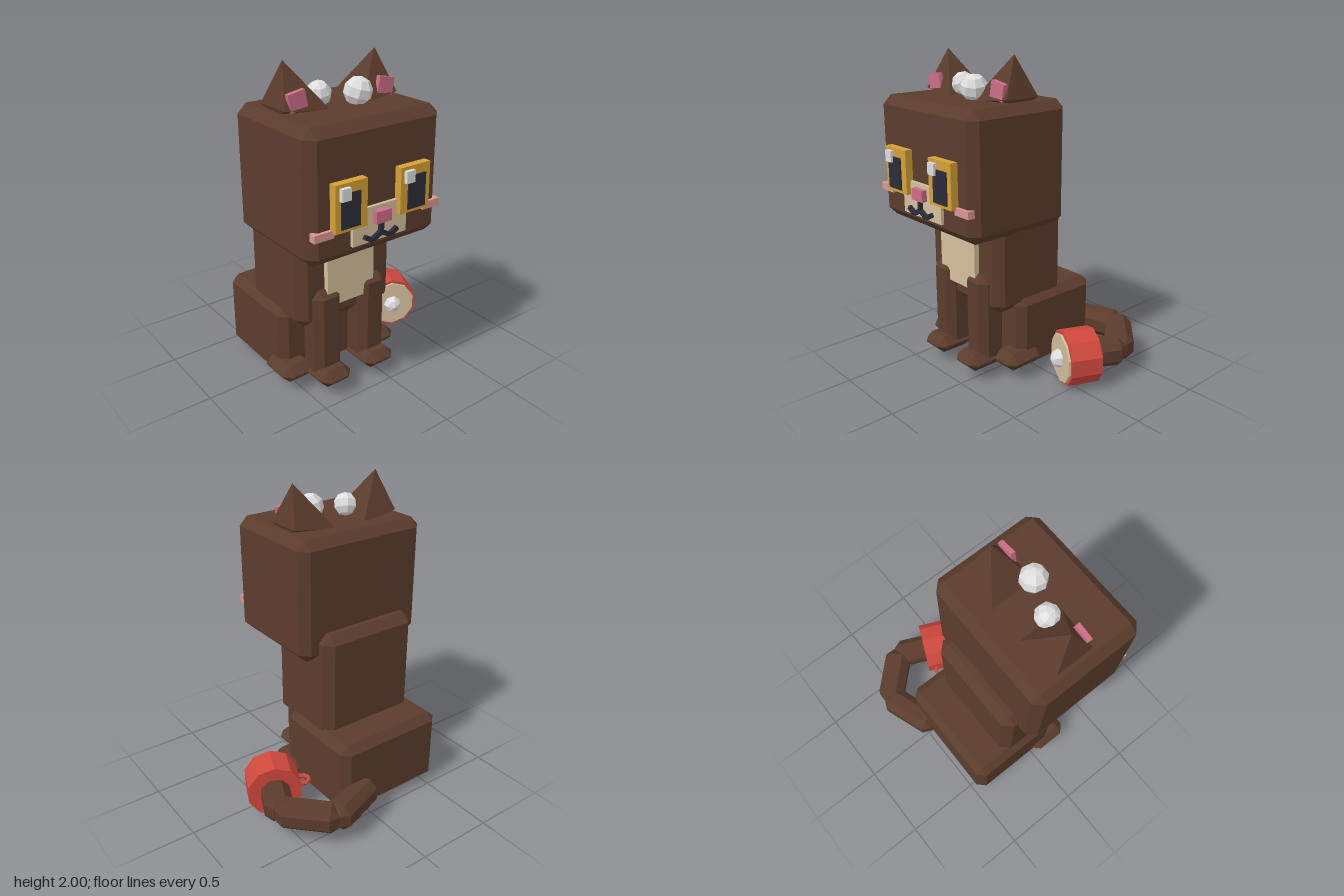
import * as THREE from 'three';
import { ConvexGeometry } from 'three/addons/geometries/ConvexGeometry.js';

const CX = -0.195; // symmetry plane of the cat

function paint(name, color) {
  const m = new THREE.MeshStandardMaterial({ color });
  m.name = name;
  return m;
}

// faceted normals
function flat(geo) {
  const g = geo.index ? geo.toNonIndexed() : geo;
  g.computeVertexNormals();
  return g;
}

// box with chamfered edges; flatBottom leaves the lower edges square
function chamferBox(w, h, d, c, flatBottom = false) {
  const pts = [];
  for (const sx of [-1, 1]) for (const sy of [-1, 1]) for (const sz of [-1, 1]) {
    const x = w / 2, y = h / 2, z = d / 2;
    const cy = flatBottom && sy < 0 ? 0 : c;
    pts.push(new THREE.Vector3(sx * x, sy * (y - cy), sz * (z - c)));
    pts.push(new THREE.Vector3(sx * (x - c), sy * (y - cy), sz * z));
    if (cy) pts.push(new THREE.Vector3(sx * (x - c), sy * y, sz * (z - c)));
  }
  return new ConvexGeometry(pts);
}

export function createModel() {
  const group = new THREE.Group();
  const fur = paint('brown fur', 0x5b3c2d);
  const cream = paint('cream', 0xd3c09c);
  const gold = paint('gold', 0xd5a036);
  const dark = paint('dark navy', 0x2b2c3b);
  const silver = paint('silver', 0xdedede);
  const pink = paint('pink', 0xcd6d86);
  const blush = paint('blush', 0xd99592);
  const red = paint('red', 0xcf483d);

  function add(name, geo, mat, x = 0, y = 0, z = 0) {
    const mesh = new THREE.Mesh(geo, mat);
    mesh.name = name;
    mesh.position.set(x, y, z);
    group.add(mesh);
    return mesh;
  }
  // parts given by their extents
  function block(name, mat, x0, x1, y0, y1, z0, z1, c = 0, flatBottom = false) {
    const s = [x1 - x0, y1 - y0, z1 - z0];
    const geo = c ? chamferBox(...s, c, flatBottom) : new THREE.BoxGeometry(...s);
    return add(name, geo, mat, (x0 + x1) / 2, (y0 + y1) / 2, (z0 + z1) / 2);
  }

  // head, torso and haunches
  block('head', fur, -0.65, 0.26, 0.98, 1.74, -0.15, 0.58, 0.055);
  block('torso', fur, -0.54, 0.15, 0.44, 1.16, -0.24, 0.315, 0.055);
  block('haunches', fur, -0.58, 0.19, 0.07, 0.52, -0.47, 0.165, 0.05, true);

  // chest patch with clipped lower corners
  const chest = new THREE.Shape([[-0.17, 0.43], [-0.17, 0.07], [-0.11, 0.07], [-0.11, 0],
    [0.11, 0], [0.11, 0.07], [0.17, 0.07], [0.17, 0.43]].map(p => new THREE.Vector2(...p)));
  add('chestPatch', new THREE.ExtrudeGeometry(chest, { depth: 0.04, bevelEnabled: false }), cream, -0.2, 0.57, 0.31);

  for (const s of [-1, 1]) {
    const side = s > 0 ? 'left' : 'right';
    const at = dx => CX + s * dx;

    // legs and paws
    add(side + 'FrontLeg', chamferBox(0.195, 0.6, 0.19, 0.045), fur, at(0.165), 0.38, 0.275);
    add(side + 'FrontPaw', chamferBox(0.22, 0.11, 0.28, 0.05), fur, at(0.165), 0.12, 0.32);
    add(side + 'BackPaw', chamferBox(0.22, 0.11, 0.28, 0.05), fur, at(0.32), 0.12, 0.14);

    // ear: pyramid leaning outwards
    const ear = [[0.105, 1.73, 0], [0.105, 1.73, 0.3], [0.38, 1.76, 0.27], [0.38, 1.76, 0.03],
      [0.36, 1.70, 0.15], [0.31, 2, 0.15]].map(([x, y, z]) => new THREE.Vector3(at(x), y, z));
    add(side + 'Ear', new ConvexGeometry(ear), fur);
    const inner = add(side + 'InnerEar', new THREE.BoxGeometry(0.108, 0.1, 0.03), pink, at(0.298), 1.805, 0.258);
    inner.rotation.z = -s * 0.19;

    // eye: iris and pupil, with the glint on the same side of both
    add(side + 'Iris', new THREE.BoxGeometry(0.21, 0.27, 0.055), gold, at(0.22), 1.315, 0.6);
    add(side + 'Pupil', new THREE.BoxGeometry(0.125, 0.195, 0.012), dark, at(0.2275), 1.2975, 0.63);
    add(side + 'Glint', new THREE.BoxGeometry(0.06, 0.07, 0.03), silver, s > 0 ? -0.027 : -0.463, 1.395, 0.635);

    add(side + 'Cheek', new THREE.BoxGeometry(0.125, 0.045, 0.045), blush, at(0.375), 1.173, 0.5775);

    // mouth halves
    const innerLip = add(side + 'InnerLip', new THREE.BoxGeometry(0.06, 0.026, 0.025), dark, -0.2 + s * 0.03, 1.092, 0.61);
    innerLip.rotation.z = -s * 0.5;
    const outerLip = add(side + 'OuterLip', new THREE.BoxGeometry(0.06, 0.026, 0.025), dark, -0.2 + s * 0.088, 1.09, 0.61);
    outerLip.rotation.z = s * 0.5;
  }

  // muzzle
  block('muzzle', cream, -0.385, -0.01, 1.06, 1.265, 0.57, 0.6);
  block('nose', pink, -0.25, -0.145, 1.17, 1.24, 0.59, 0.635);
  block('mouthLine', dark, -0.213, -0.187, 1.09, 1.17, 0.597, 0.622);

  // bells on top of the head
  const ball = r => flat(new THREE.SphereGeometry(r, 8, 5));
  add('smallBell', ball(0.074), silver, -0.305, 1.803, 0.19).rotation.set(0.3, 0.4, 0.25);
  add('largeBell', ball(0.084), silver, -0.098, 1.803, 0.272).rotation.set(0.2, 0.2, -0.2);

  // tail: overlapping segments, each [x, z] to [x, z]
  const tailY = 0.175;
  const tail = [[-0.02, -0.45, 0.36, -0.585], [0.32, -0.595, 0.59, -0.315], [0.585, -0.35, 0.46, -0.08]];
  tail.forEach(([x0, z0, x1, z1], i) => {
    const seg = add('tailSegment' + (i + 1), chamferBox(0.177, 0.177, Math.hypot(x1 - x0, z1 - z0), 0.05),
      fur, (x0 + x1) / 2, tailY, (z0 + z1) / 2);
    seg.rotation.y = Math.atan2(x1 - x0, z1 - z0);
  });

  // tail cuff, built along its own z axis
  const cuff = new THREE.Group();
  cuff.name = 'tailCuff';
  cuff.position.set(0.455, tailY, -0.065);
  cuff.rotation.y = Math.atan2(-0.41, 0.91);
  group.add(cuff);
  const disc = (name, r, depth, z, mat) => {
    const geo = new THREE.CylinderGeometry(r, r, depth, 10);
    geo.rotateX(Math.PI / 2);
    const mesh = new THREE.Mesh(flat(geo), mat);
    mesh.name = name;
    mesh.position.z = z;
    cuff.add(mesh);
  };
  disc('cuffBand', 0.175, 0.2, 0, red);
  disc('cuffFace', 0.155, 0.03, 0.1, cream);
  const knob = new THREE.Mesh(flat(new THREE.SphereGeometry(0.06, 7, 4).rotateX(Math.PI / 2)), silver);
  knob.name = 'cuffKnob';
  knob.position.z = 0.118;
  cuff.add(knob);

  // small ring beside the cuff
  const ring = flat(new THREE.TorusGeometry(0.042, 0.014, 6, 8).rotateX(Math.PI / 2));
  add('cuffRing', ring, red, 0.284, tailY, -0.153);

  return group;
}
